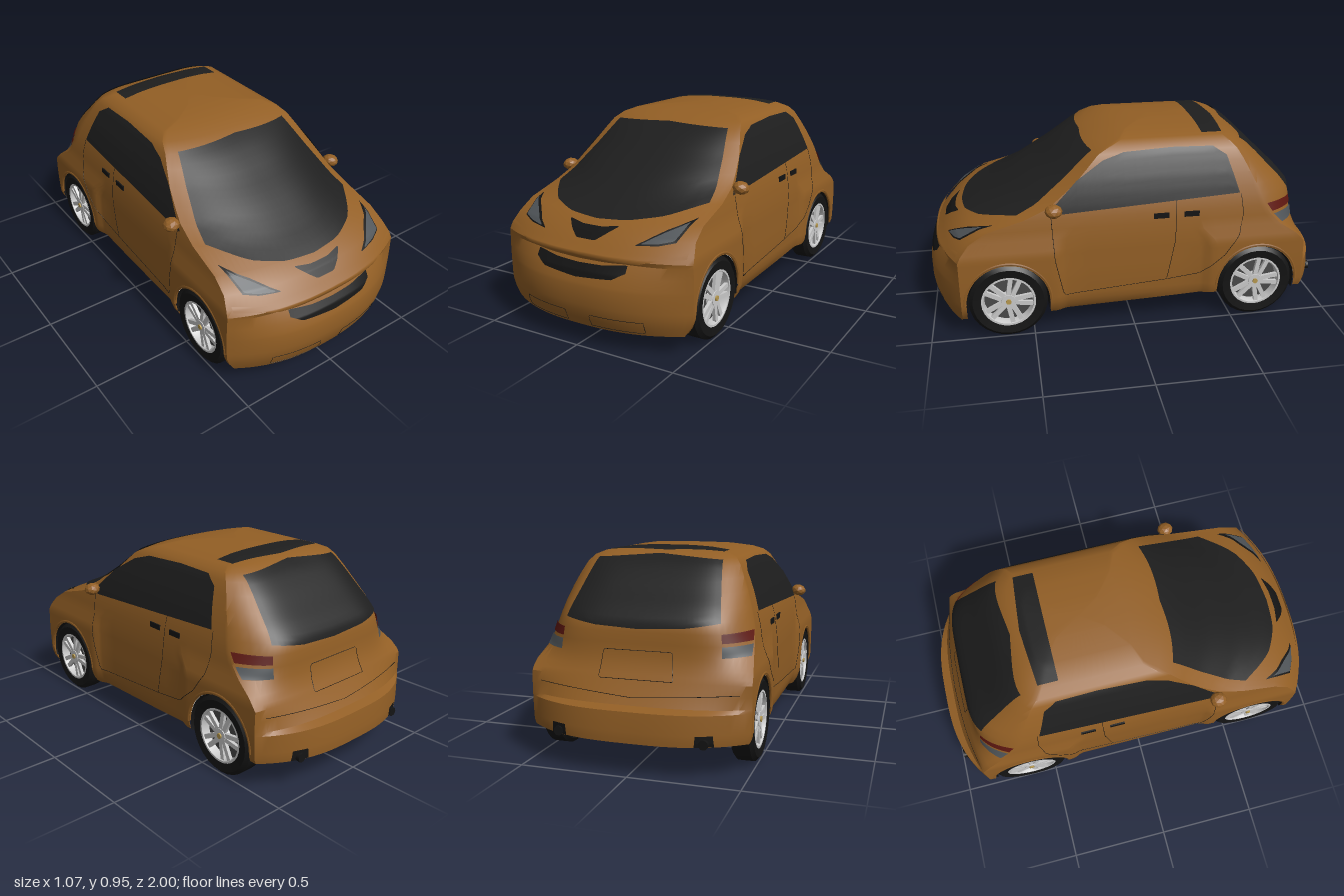
import * as THREE from 'three';
import { toCreasedNormals } from 'three/addons/utils/BufferGeometryUtils.js';

const mat = (color) => new THREE.MeshStandardMaterial({ color, side: THREE.DoubleSide });
const PAINT = mat(0x935f25), GLASS = mat(0x1e1e1e), BLACK = mat(0x141414), GREY = mat(0xcccccc);
const LENS = mat(0x4e5357), RED = mat(0x5e1710), DARK = mat(0x4a4a4a), GOLD = mat(0xb89a50);

// Body outline by height: y, nose z, front corner z, tail z, rear corner z, half width
const LEVELS = [
  [.088, .965, .845, -.985, -.855, .447], [.13, .985, .845, -.998, -.855, .474], [.17, .995, .845, -1, -.855, .488],
  [.2, 1, .845, -1, -.855, .49], [.285, 1, .845, -.99, -.855, .492], [.3, .995, .845, -.945, -.855, .492],
  [.35, .98, .845, -.915, -.855, .492], [.4, .945, .845, -.89, -.855, .49], [.42, .955, .845, -.88, -.84, .49],
  [.45, .925, .83, -.865, -.81, .489], [.5, .88, .79, -.85, -.73, .486], [.55, .805, .71, -.845, -.68, .48],
  [.6, .7, .53, -.842, -.65, .473], [.65, .61, .41, -.83, -.63, .46], [.7, .525, .345, -.785, -.61, .445],
  [.76, .42, .27, -.72, -.58, .424], [.82, .325, .21, -.66, -.55, .398], [.87, .24, .16, -.605, -.52, .374],
  [.9, .17, .1, -.56, -.49, .35], [.92, .1, .04, -.52, -.46, .305], [.935, .03, 0, -.455, -.41, .2],
  [.943, -.08, -.09, -.35, -.33, .08], [.946, -.2, -.2, -.2, -.2, 0],
];
const AXLE_Z = .62, AXLE_Y = .19, ARCH = .2;
const { lerp, smoothstep, clamp } = THREE.MathUtils;

function level(y) {
  let i = 0;
  while (i < LEVELS.length - 2 && y > LEVELS[i + 1][0]) i++;
  const a = LEVELS[i], b = LEVELS[i + 1], t = clamp((y - a[0]) / (b[0] - a[0]), 0, 1);
  return a.map((v, k) => lerp(v, b[k], t));
}
const fender = (z, y) => .019 * smoothstep(Math.abs(z), .33, .39) * (1 - smoothstep(y, .42, .52));
// Plan curve of the ends: round nose and bumper, flatter tailgate with tight corners
const bow = (s, y, k) => Math.pow(Math.min(Math.abs(s), 1), k === 1 ? 2.5 : lerp(2.9, 6, smoothstep(y, .4, .55)));

// Points on the body skin
function across(x, y, k) {
  const L = level(y), w = L[5] + fender(L[k + 1], y);
  return [x, y, lerp(L[k], L[k + 1], bow(x / Math.max(w, 1e-4), y, k))];
}
function endPoint(s, y, k) {
  const L = level(y);
  return across(s * (L[5] + fender(L[k + 1], y)), y, k);
}
const front = (x, y) => across(x, y, 1);
const rear = (x, y) => across(x, y, 3);
const side = (z, y) => [level(y)[5] + fender(z, y), y, z];
function roof(x, z) {
  let lo = .6, hi = .946;
  for (let i = 0; i < 24; i++) {
    const y = (lo + hi) / 2;
    const inside = Math.abs(x) < level(y)[5] && z < front(x, y)[2] && z > rear(x, y)[2];
    if (inside) lo = y; else hi = y;
  }
  return [x, lo, z];
}

// Skin point lifted outwards by d
function lifted(surf, a, b, d, sx = 1) {
  const e = .004, V = (q) => new THREE.Vector3(...q);
  const p = V(surf(a, b)), u = V(surf(a + e, b)).sub(p), v = V(surf(a, b + e)).sub(p);
  const n = u.cross(v).normalize();
  if (n.dot(new THREE.Vector3(p.x, p.y - .4, p.z)) < 0) n.negate();
  p.addScaledVector(n, d);
  p.x *= sx;
  return p;
}
function pick(pts, t) {
  const f = t * (pts.length - 1), i = Math.min(Math.floor(f), pts.length - 2);
  return [lerp(pts[i][0], pts[i + 1][0], f - i), lerp(pts[i][1], pts[i + 1][1], f - i)];
}
function gridGeometry(rows) {
  const n = rows[0].length, index = [];
  for (let i = 0; i < rows.length - 1; i++) for (let j = 0; j < n - 1; j++) {
    const a = i * n + j;
    index.push(a, a + 1, a + n + 1, a, a + n + 1, a + n);
  }
  const g = new THREE.BufferGeometry();
  g.setAttribute('position', new THREE.Float32BufferAttribute(rows.flat(2), 3));
  g.setIndex(index);
  return g;
}

export function createModel() {
  const model = new THREE.Group();
  model.name = 'car';
  const add = (name, geo, material, parent = model) => {
    const m = new THREE.Mesh(geo, material);
    m.name = name;
    parent.add(m);
    return m;
  };
  // Panel laid on the skin between two edge lines
  const panel = (name, surf, low, high, material, d = .006, sx = 1) => {
    const rows = [];
    for (let i = 0; i <= 14; i++) {
      const row = [];
      for (let j = 0; j <= 28; j++) {
        const p = pick(low, j / 28), q = pick(high, j / 28);
        row.push(lifted(surf, lerp(p[0], q[0], i / 14), lerp(p[1], q[1], i / 14), d, sx).toArray());
      }
      rows.push(row);
    }
    const g = gridGeometry(rows);
    g.computeVertexNormals();
    return add(name, g, material);
  };
  // Thin dark gap line on the skin
  const seam = (name, surf, pts, sx = 1) => {
    const path = new THREE.CurvePath();
    for (let i = 0; i < 40; i++) {
      const [p, q] = [i, i + 1].map((k) => lifted(surf, ...pick(pts, k / 40), .0005, sx));
      path.add(new THREE.LineCurve3(p, q));
    }
    add(name, new THREE.TubeGeometry(path, 60, .0013, 4), BLACK);
  };

  // Body shell: horizontal rings, lower edge lifted over the wheel arches
  const cols = [.845, AXLE_Z + ARCH + .0015];
  for (let i = 0; i <= 18; i++) cols.push(AXLE_Z + (ARCH - .0002) * Math.cos(i * Math.PI / 18));
  cols.push(AXLE_Z - ARCH - .0015, .39, .37, .35, .33, .22, .11, 0);
  const sideZ = [...cols, ...cols.slice(0, -1).reverse().map((z) => (z === .845 ? -.855 : -z))];
  const lowEdge = (z) => {
    const d = Math.abs(Math.abs(z) - AXLE_Z);
    return d < ARCH ? AXLE_Y + Math.sqrt(ARCH * ARCH - d * d) : lerp(.15, .1, clamp(z + .5, 0, 1));
  };
  const sidePoint = (z0, y0, sx) => {
    const y = Math.max(y0, lowEdge(z0)), L = level(y);
    const z = lerp(L[2], L[4], (.845 - z0) / 1.7);
    return [sx * (L[5] + fender(z, y)), y, z];
  };
  const rings = LEVELS.map(([y]) => {
    const ring = [], N = 40;
    for (let i = 0; i <= N; i++) ring.push(endPoint(i / N * 2 - 1, y, 1));
    sideZ.forEach((z) => ring.push(sidePoint(z, y, 1)));
    for (let i = 0; i <= N; i++) ring.push(endPoint(1 - i / N * 2, Math.max(y, .15), 3));
    [...sideZ].reverse().forEach((z) => ring.push(sidePoint(z, y, -1)));
    return ring;
  });
  add('bodyShell', toCreasedNormals(gridGeometry(rings), .5), PAINT);

  // Front and rear glass, roof panel
  panel('windshield', front, [[-.425, .605], [-.3, .568], [-.15, .546], [0, .538], [.15, .546], [.3, .568], [.425, .605]],
    [[-.318, .872], [0, .885], [.318, .872]], GLASS);
  panel('rearWindow', rear, [[-.355, .645], [-.2, .622], [0, .612], [.2, .622], [.355, .645]],
    [[-.3, .89], [0, .912], [.3, .89]], GLASS);
  panel('roofPanel', roof, [[-.285, -.365], [.285, -.365]], [[-.285, -.465], [0, -.49], [.285, -.465]], GLASS, .003);

  // Nose details
  const lip = (y) => [-.48, -.3, -.15, 0, .15, .3, .48].map((x) => [x, y + .17 * x * x]);
  panel('hoodLip', front, lip(.4), lip(.422), PAINT, .01);
  panel('lowerGrille', front, [[-.24, .365], [-.18, .335], [0, .322], [.18, .335], [.24, .365]],
    [[-.24, .397], [-.12, .382], [0, .378], [.12, .382], [.24, .397]], BLACK);
  panel('upperGrille', front, [[-.13, .522], [-.05, .468], [.05, .468], [.13, .522]],
    [[-.13, .526], [-.05, .516], [.05, .516], [.13, .526]], BLACK);

  // Tail panel outline
  seam('tailgatePanel', rear, [[-.17, .4], [.17, .4], [.16, .52], [-.16, .52], [-.17, .4]]);
  seam('bumperSeam', rear, [[-.46, .36], [0, .33], [.46, .36]]);

  const windowTop = [[.42, .622], [.27, .765], [.14, .845], [.04, .874], [-.2, .884], [-.4, .88], [-.465, .84], [-.52, .67]];
  const windowLow = windowTop.map(([z]) => [z, .615 + (.42 - z) * .053]);
  for (const sx of [1, -1]) {
    const tag = sx > 0 ? 'left' : 'right';
    panel(tag + 'SideWindow', side, windowLow, windowTop, GLASS, .005, sx);
    panel(tag + 'HeadlightFrame', front, [[.25, .473], [.35, .48], [.415, .495]],
      [[.25, .476], [.35, .532], [.436, .568]], BLACK, .004, sx);
    panel(tag + 'Headlight', front, [[.275, .478], [.35, .486], [.407, .499]],
      [[.275, .482], [.35, .522], [.424, .556]], LENS, .008, sx);
    panel(tag + 'TailLamp', rear, [[.365, .562], [.472, .562]], [[.36, .6], [.468, .604]], RED, .006, sx);
    panel(tag + 'ReverseLamp', rear, [[.37, .502], [.478, .502]], [[.366, .548], [.474, .548]], LENS, .006, sx);

    // Door gaps, vent outline and handles
    seam(tag + 'DoorSeam', side, [[.4, .61], [.39, .4], [.35, .2], [-.16, .24], [-.2, .45], [-.21, .8]], sx);
    seam(tag + 'RearSeam', side, [[-.16, .24], [-.33, .26], [-.45, .36], [-.52, .46], [-.54, .56], [-.53, .66]], sx);
    seam(tag + 'VentOutline', front, [[.065, .1], [.065, .155], [.32, .155], [.32, .1], [.065, .1]], sx);
    for (const z of [-.13, -.28]) {
      add(tag + 'DoorHandle', new THREE.BoxGeometry(.016, .026, .075), BLACK).position.set(sx * .473, .58, z);
    }

    // Mirror
    const mirror = add(tag + 'Mirror', new THREE.IcosahedronGeometry(1, 1), PAINT.clone());
    mirror.material.flatShading = true;
    mirror.scale.set(.04, .031, .042);
    mirror.position.set(sx * .496, .648, .388);
    mirror.rotation.z = sx * -.2;
    const arm = add(tag + 'MirrorArm', new THREE.BoxGeometry(.06, .018, .03), PAINT);
    arm.position.set(sx * .465, .625, .39);
    arm.rotation.z = sx * .5;

    // Exhaust tip in its bumper notch
    panel(tag + 'ExhaustNotch', rear, [[.29, .152], [.37, .152]], [[.295, .2], [.365, .2]], BLACK, .002, sx);
    const tip = add(tag + 'ExhaustTip', new THREE.CylinderGeometry(.022, .022, .1, 12), BLACK);
    tip.rotation.x = Math.PI / 2;
    tip.position.set(sx * .33, .165, -.92);

    for (const z of [AXLE_Z, -AXLE_Z]) {
      const end = z > 0 ? 'Front' : 'Rear';
      // Wheel well and arch lip
      const well = new THREE.Group();
      well.name = tag + end + 'WheelWell';
      well.position.set(0, AXLE_Y, z);
      model.add(well);
      const liner = new THREE.CylinderGeometry(.199, .199, .22, 20, 1, true, -.25, Math.PI + .5);
      add('liner', liner.rotateZ(Math.PI / 2), BLACK, well).position.x = sx * .39;
      add('innerWall', new THREE.CircleGeometry(.199, 20, -.25, Math.PI + .5).rotateY(Math.PI / 2), BLACK, well).position.x = sx * .28;
      add('archLip', new THREE.TorusGeometry(.208, .009, 6, 28, Math.PI).rotateY(Math.PI / 2), PAINT, well).position.x = sx * .504;

      // Wheel, axis along local y, outer face at +y
      const wheel = new THREE.Group();
      wheel.name = tag + end + 'Wheel';
      wheel.position.set(sx * .452, AXLE_Y, z);
      wheel.rotation.z = -sx * Math.PI / 2;
      model.add(wheel);
      const lathe = (pts) => toCreasedNormals(new THREE.LatheGeometry(pts.map((p) => new THREE.Vector2(...p)), 28), .5);
      add('tyre', lathe([[.128, -.052], [.172, -.052], [.19, -.036], [.19, .036], [.172, .052], [.128, .046]]), BLACK, wheel);
      add('rim', lathe([[.128, -.052], [.118, -.03], [.116, .03], [.122, .048], [.132, .048]]), GREY, wheel);
      add('brakeDisc', new THREE.CylinderGeometry(.117, .117, .012, 28), DARK, wheel);
      add('innerHub', new THREE.CylinderGeometry(.075, .075, .05, 16), GREY, wheel).position.y = -.025;
      add('hub', new THREE.CylinderGeometry(.034, .042, .03, 20), GREY, wheel).position.y = .03;
      add('hubCap', new THREE.CylinderGeometry(.013, .013, .008, 12), GOLD, wheel).position.y = .048;
      for (let i = 0; i < 5; i++) {
        const spoke = new THREE.Group();
        spoke.name = 'spoke';
        spoke.rotation.y = i * Math.PI * 2 / 5 + Math.PI / 2 * sx;
        wheel.add(spoke);
        for (const k of [-1, 1]) {
          const bar = add('spokeBar', new THREE.BoxGeometry(.098, .016, .022), GREY, spoke);
          bar.position.set(.072, .034, k * .016);
          bar.rotation.y = -k * .14;
        }
      }
    }
  }

  // Underbody: floor with a raised centre channel, then a deeper rear pan
  const pan = (name, half, z0, z1) => {
    const line = [...half.map(([x, y]) => [-x, y]), ...[...half].reverse()];
    const g = gridGeometry([z0, z1].map((z) => line.map(([x, y]) => [x, y, z])));
    add(name, toCreasedNormals(g, .3), GREY);
  };
  pan('floor', [[.42, .16], [.16, .16], [.1, .27]], -.38, .38);
  pan('rearPan', [[.28, .16], [.23, .32]], -.86, -.38);
  return model;
}
